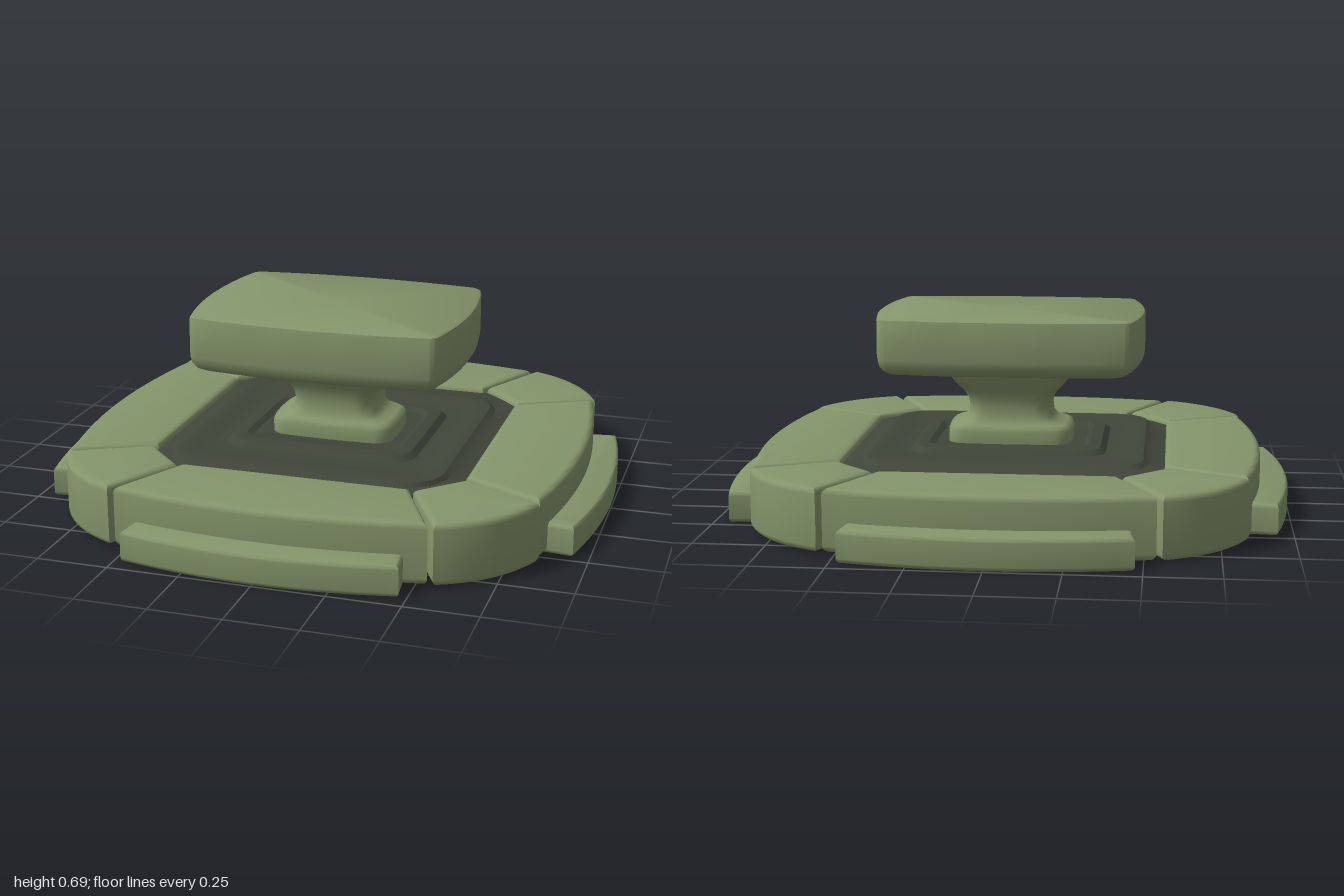
import * as THREE from 'three';
import { toCreasedNormals } from 'three/addons/utils/BufferGeometryUtils.js';

const green = new THREE.MeshStandardMaterial({ color: 0x84956a });
const dark = new THREE.MeshStandardMaterial({ color: 0x41463a });

// Rounded rectangle outline whose sides bulge by the fraction k
function outline(hx, hz, r, k, arc = 5, side = 8) {
  const corners = [[1, 1], [-1, 1], [-1, -1], [1, -1]];
  const pts = [];
  corners.forEach(([sx, sz], i) => {
    for (let j = 0; j <= arc; j++) {
      const a = (i + j / arc) * Math.PI / 2;
      pts.push([sx * (hx - r) + r * Math.cos(a), sz * (hz - r) + r * Math.sin(a)]);
    }
    const [nx, nz] = corners[(i + 1) % 4];
    const a = (i + 1) * Math.PI / 2;
    const p = pts[pts.length - 1];
    const q = [nx * (hx - r) + r * Math.cos(a), nz * (hz - r) + r * Math.sin(a)];
    for (let j = 1; j < side; j++) {
      const t = j / side;
      pts.push([p[0] + (q[0] - p[0]) * t, p[1] + (q[1] - p[1]) * t]);
    }
  });
  return pts.map(([x, z]) => [x * (1 - k * (z / hz) ** 2), z * (1 - k * (x / hx) ** 2)]);
}

// Skin over sections { y, hx, hz, r, k, cx, cz }; closed joins last to first, else ends are capped
function loft(sections, closed, crease) {
  const pos = [], idx = [];
  let n = 0;
  for (const { y, hx, hz, r, k = 0, cx = 0, cz = 0 } of sections) {
    const pts = outline(hx, hz, r, k);
    n = pts.length;
    pts.forEach(([x, z]) => pos.push(x + cx, y, z + cz));
  }
  const m = sections.length;
  for (let s = 0; s < (closed ? m : m - 1); s++) {
    const lo = s * n, hi = ((s + 1) % m) * n;
    for (let i = 0; i < n; i++) {
      const j = (i + 1) % n;
      idx.push(lo + i, hi + i, lo + j, lo + j, hi + i, hi + j);
    }
  }
  if (!closed) {
    const a = sections[0], b = sections[m - 1];
    pos.push(a.cx || 0, a.y, a.cz || 0, b.cx || 0, b.y, b.cz || 0);
    for (let i = 0; i < n; i++) {
      const j = (i + 1) % n, top = (m - 1) * n;
      idx.push(m * n, i, j, m * n + 1, top + j, top + i);
    }
  }
  const g = new THREE.BufferGeometry();
  g.setAttribute('position', new THREE.Float32BufferAttribute(pos, 3));
  g.setIndex(idx);
  return toCreasedNormals(g, crease);
}

// Bevelled slab standing on y = base, drawn in plan with shape y as +z
function slab(shape, base, top, bevel) {
  const g = new THREE.ExtrudeGeometry(shape, {
    depth: top - base - 2 * bevel, bevelThickness: bevel, bevelSize: bevel,
    bevelOffset: -bevel, bevelSegments: 4, curveSegments: 16,
  });
  g.rotateX(Math.PI / 2).translate(0, top - bevel, 0);
  return toCreasedNormals(g, 0.7);
}

function add(parent, name, geometry, material = green) {
  const mesh = new THREE.Mesh(geometry, material);
  mesh.name = name;
  parent.add(mesh);
  return mesh;
}

export function createModel() {
  const model = new THREE.Group();
  model.name = 'thumbstick';

  // Plan shapes for one quarter of the surround
  const sideShape = new THREE.Shape();
  sideShape.moveTo(-0.405, 0.56);
  sideShape.lineTo(0.405, 0.56);
  sideShape.lineTo(0.54, 0.84);
  sideShape.quadraticCurveTo(0, 0.96, -0.54, 0.84);
  sideShape.closePath();

  const cornerShape = new THREE.Shape();
  cornerShape.moveTo(0.42, 0.57);
  cornerShape.lineTo(0.57, 0.42);
  cornerShape.lineTo(0.845, 0.56);
  cornerShape.quadraticCurveTo(0.765, 0.765, 0.56, 0.845);
  cornerShape.closePath();

  const bumperShape = new THREE.Shape();
  bumperShape.moveTo(-0.455, 0.78);
  bumperShape.lineTo(0.455, 0.78);
  bumperShape.lineTo(0.475, 0.945);
  bumperShape.quadraticCurveTo(0, 1.055, -0.475, 0.945);
  bumperShape.closePath();

  const sideGeo = slab(sideShape, 0.005, 0.22, 0.022);
  const cornerGeo = slab(cornerShape, 0.005, 0.22, 0.022);
  const bumperGeo = slab(bumperShape, 0, 0.11, 0.016);

  // Surround: four sides, corners and outer bumpers
  for (let i = 0; i < 4; i++) {
    const quarter = new THREE.Group();
    quarter.name = 'surroundQuarter' + (i + 1);
    quarter.rotation.y = i * Math.PI / 2;
    add(quarter, 'sideSegment', sideGeo);
    add(quarter, 'cornerSegment', cornerGeo);
    add(quarter, 'bumper', bumperGeo);
    model.add(quarter);
  }

  // Stepped flexible boot: half size, height, centre offset in z
  const boot = [
    [0.18, 0.175, 0.035], [0.31, 0.175, 0.04], [0.34, 0.16, 0.04], [0.45, 0.155, 0.04],
    [0.48, 0.135, 0.03], [0.568, 0.13, 0], [0.568, 0.195, 0], [0.505, 0.205, 0.03],
    [0.485, 0.22, 0.04], [0.45, 0.224, 0.04], [0.42, 0.212, 0.04], [0.35, 0.214, 0.04],
    [0.33, 0.232, 0.04], [0.29, 0.235, 0.04], [0.27, 0.222, 0.035], [0.18, 0.222, 0.035],
  ].map(([h, y, cz]) => {
    const hz = h < 0.5 ? h - Math.min(0.045, (0.5 - h) * 0.4) : h;
    return { y, hx: h, hz, r: h > 0.5 ? 0.165 : h * 0.26, cz };
  });
  add(model, 'flexibleBoot', loft(boot, true, 0.5), dark);

  // Stem: square foot, waist and flared head
  const stem = [
    [0.165, 0.2, 0.13], [0.175, 0.22, 0.148], [0.2, 0.228, 0.155], [0.265, 0.228, 0.155],
    [0.28, 0.222, 0.15], [0.288, 0.205, 0.142], [0.295, 0.175, 0.135], [0.315, 0.155, 0.127],
    [0.35, 0.15, 0.125], [0.38, 0.155, 0.13], [0.41, 0.175, 0.143], [0.44, 0.203, 0.163],
    [0.465, 0.22, 0.175], [0.485, 0.235, 0.183], [0.51, 0.237, 0.185],
  ].map(([y, hx, hz]) => ({ y, hx, hz, r: 0.05, k: 0.06, cx: 0.005, cz: 0.04 }));
  add(model, 'stem', loft(stem, false, 0.9));

  // Cap: bulged square pad with a rounded underside, listed as height and inset
  const cap = [
    [0.49, 0.065], [0.494, 0.04], [0.506, 0.018], [0.525, 0.005], [0.55, 0],
    [0.68, 0], [0.69, 0.003], [0.695, 0.011],
  ].map(([y, inset]) => ({
    y, hx: 0.485 - inset, hz: 0.375 - inset, r: 0.025, k: 0.09, cx: 0.005, cz: 0.055,
  }));
  add(model, 'cap', loft(cap, false, 0.6));

  return model;
}
